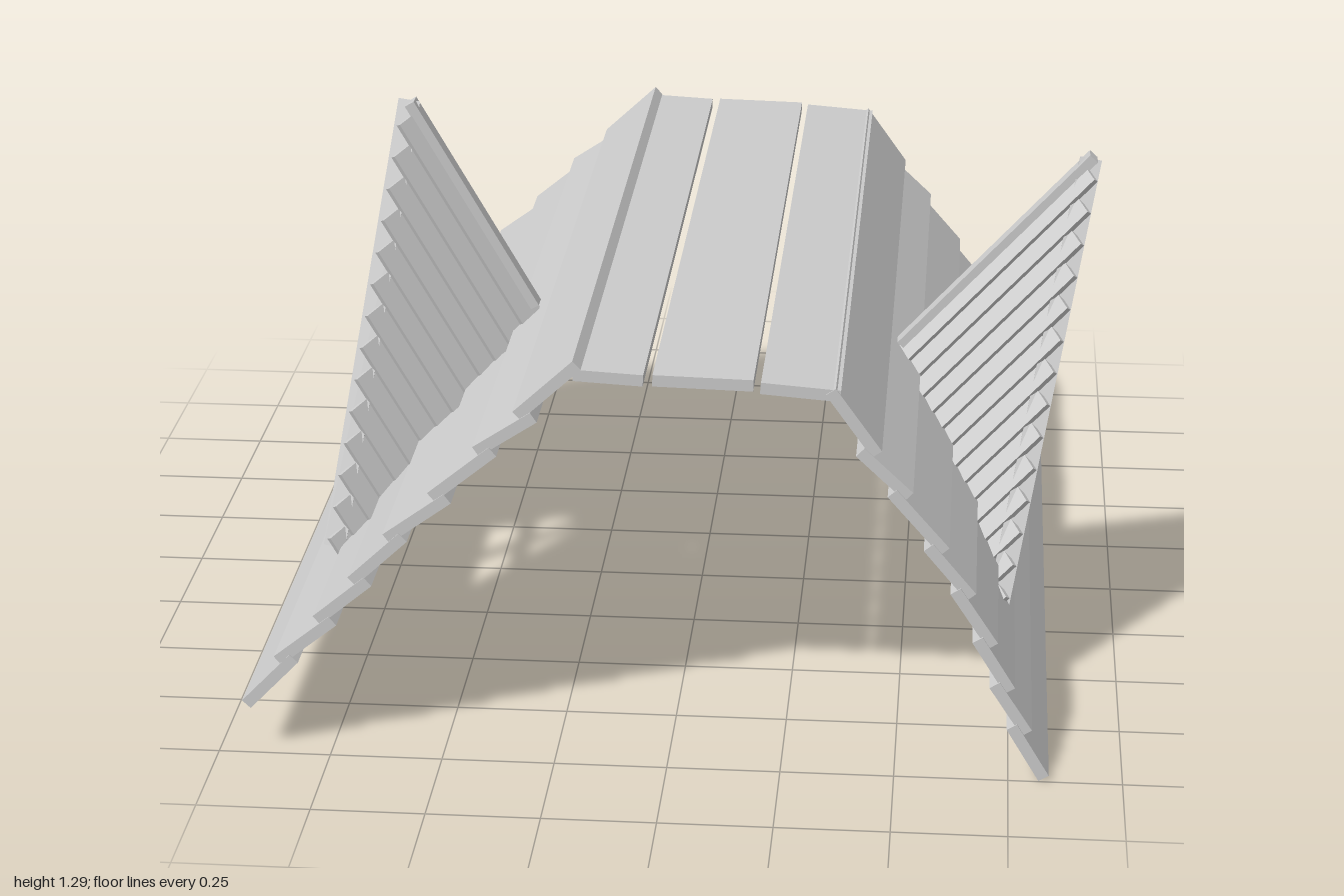
import * as THREE from 'three';

const grey = new THREE.MeshStandardMaterial({ color: 0xcccccc });
const black = new THREE.MeshStandardMaterial({ color: 0x0a0a0a });
const V = (x, y, z = 0) => new THREE.Vector3(x, y, z);
const ZC = 0.23; // dormer centre along the roof

function add(parent, name, geometry, material = grey) {
  const mesh = new THREE.Mesh(geometry, material);
  mesh.name = name;
  parent.add(mesh);
  return mesh;
}

// Box lying along the roof between two profile points, its outer face through both
function plank(parent, name, a, b, inward, z0, z1, thick = 0.026) {
  const mesh = add(parent, name, new THREE.BoxGeometry(a.distanceTo(b), thick, z1 - z0));
  mesh.position.copy(a).add(b).multiplyScalar(0.5).addScaledVector(inward, thick / 2);
  mesh.position.z = (z0 + z1) / 2;
  mesh.rotation.z = Math.atan2(b.y - a.y, b.x - a.x);
}

// Overlapping planks down one slope; edges run from the ridge to the eave
function slope(parent, name, edges, side, yBase) {
  const group = new THREE.Group();
  group.name = name;
  parent.add(group);
  for (let i = 1; i < edges.length; i++) {
    const low = V(...edges[i]), high = V(...edges[i - 1]);
    const up = high.clone().sub(low).normalize();
    const inward = V(-side * up.y, side * up.x);
    const top = high.clone().addScaledVector(inward, i > 1 ? 0.026 : 0).addScaledVector(up, i > 1 ? 0.025 : 0);
    const end = 0.975 + 0.022 * i / (edges.length - 1);
    // Opening behind the dormer window, narrowing upwards plank by plank
    const mid = (low.y + high.y) / 2 - yBase;
    const half = mid < 0 || mid > 0.46 ? 0 : mid < 0.2 ? 0.24 : mid < 0.33 ? 0.17 : 0.09;
    if (half) {
      plank(group, 'roofPlank', low, top, inward, -end, ZC - half);
      plank(group, 'roofPlank', low, top, inward, ZC + half, end);
    } else plank(group, 'roofPlank', low, top, inward, -end, end);
  }
}

function triangle(Type, half, v0, v1, shift = 0) {
  const t = new Type();
  t.moveTo(shift - half, v0).lineTo(shift + half, v0).lineTo(shift, v1).closePath();
  return t;
}

function extrude(shape, depth, w) {
  const g = new THREE.ExtrudeGeometry(shape, { depth, bevelEnabled: false });
  return g.translate(0, 0, w);
}

// Leaning triangular window set in the gable end
function gable(base, apex, side) {
  const group = new THREE.Group();
  group.name = 'dormerGable';
  const up = apex.clone().sub(base).normalize();
  const out = V(side * up.y, -side * up.x);
  group.matrix.makeBasis(up.clone().cross(out), up, out).setPosition(base.x, base.y, ZC);
  group.matrix.decompose(group.position, group.quaternion, group.scale);

  const trim = new THREE.Shape();
  [[-0.39, 0], [-0.335, 0], [0, 0.84], [0.335, 0], [0.39, 0], [0, 0.96]]
    .forEach(([u, v], i) => (i ? trim.lineTo(u, v) : trim.moveTo(u, v)));
  add(group, 'gableTrim', extrude(trim, 0.05, -0.03));

  const panel = triangle(THREE.Shape, 0.35, -0.02, 0.87);
  panel.holes.push(triangle(THREE.Path, 0.25, 0.04, 0.68, -0.015));
  add(group, 'darkPanel', extrude(panel, 0.02, -0.025), black);

  const frame = triangle(THREE.Shape, 0.28, 0.02, 0.73, -0.015);
  frame.holes.push(triangle(THREE.Path, 0.215, 0.065, 0.6, -0.015));
  add(group, 'windowFrame', extrude(frame, 0.045, -0.03));

  add(group, 'verticalBar', new THREE.BoxGeometry(0.033, 0.54, 0.025)).position.set(-0.015, 0.32, -0.01);
  add(group, 'horizontalBar', new THREE.BoxGeometry(0.3, 0.033, 0.025)).position.set(-0.015, 0.235, -0.01);
  return group;
}

// Dormer: lapped boards parallel to its ridge on both flanks, a ridge cap and the gable
function dormer(name, side, A, R, C, windowBase, windowApex) {
  const group = new THREE.Group();
  group.name = name;
  const N = 14;
  const d = R.clone().sub(A).normalize();
  const ridge = A.distanceTo(R);
  for (const s of [-1, 1]) {
    const rafter = V(C.x, C.y, ZC + s * 0.385).sub(A);
    const down = rafter.clone().addScaledVector(d, -rafter.dot(d));
    const height = down.length();
    down.normalize();
    const n = d.clone().cross(down);
    if (n.z * s < 0) n.negate();
    // Lower edges kick outwards so each board laps the next
    const e = down.clone().addScaledVector(n, 0.25).normalize();
    const outward = d.clone().cross(e);
    const basis = new THREE.Matrix4().makeBasis(d, e, outward);
    const width = height / N * 1.2;
    for (let i = 0; i < N; i++) {
      const t = (i + 0.4) / N;
      const length = (1 - t) * ridge + 0.05;
      const board = add(group, 'sideBoard', new THREE.BoxGeometry(length, width, 0.014));
      board.quaternion.setFromRotationMatrix(basis);
      board.position.copy(A).addScaledVector(rafter, t)
        .addScaledVector(down, -0.4 * height / N)
        .addScaledVector(d, length / 2).addScaledVector(e, width / 2);
    }
  }
  const cap = add(group, 'dormerRidgeCap', new THREE.BoxGeometry(ridge + 0.01, 0.024, 0.04));
  cap.position.copy(A).add(R).multiplyScalar(0.5);
  cap.rotation.z = Math.atan2(d.y, d.x);
  group.add(gable(windowBase, windowApex, side));
  return group;
}

export function createModel() {
  const model = new THREE.Group();
  model.name = 'plankRoof';

  // Two unequal slopes
  slope(model, 'leftSlope', [[0.36, 0.905], [0.46, 0.765], [0.53, 0.67], [0.61, 0.545], [0.67, 0.44],
    [0.72, 0.325], [0.76, 0.22], [0.80, 0.12], [0.84, 0.012]], 1, 0.2);
  slope(model, 'rightSlope', [[-0.2, 0.95], [-0.33, 0.83], [-0.42, 0.745], [-0.52, 0.635], [-0.62, 0.535],
    [-0.7, 0.43], [-0.78, 0.335], [-0.87, 0.235], [-0.945, 0.125]], -1, 0.3);

  // Nearly flat crown boards with narrow gaps
  for (const [x0, y0, x1, y1] of [[-0.2, 0.93, -0.05, 0.922], [-0.03, 0.923, 0.185, 0.918], [0.2, 0.913, 0.37, 0.9]])
    plank(model, 'crownBoard', V(x0, y0), V(x1, y1), V(0, -1), -0.975, 0.975);

  model.add(dormer('leftDormer', 1, V(0.905, 1.185, ZC), V(0.485, 0.725, ZC), V(0.72, 0.24), V(0.725, 0.24), V(0.905, 1.17)));
  model.add(dormer('rightDormer', -1, V(-0.65, 1.275, ZC), V(-0.375, 0.795, ZC), V(-0.79, 0.33), V(-0.8, 0.335), V(-0.665, 1.25)));
  return model;
}
